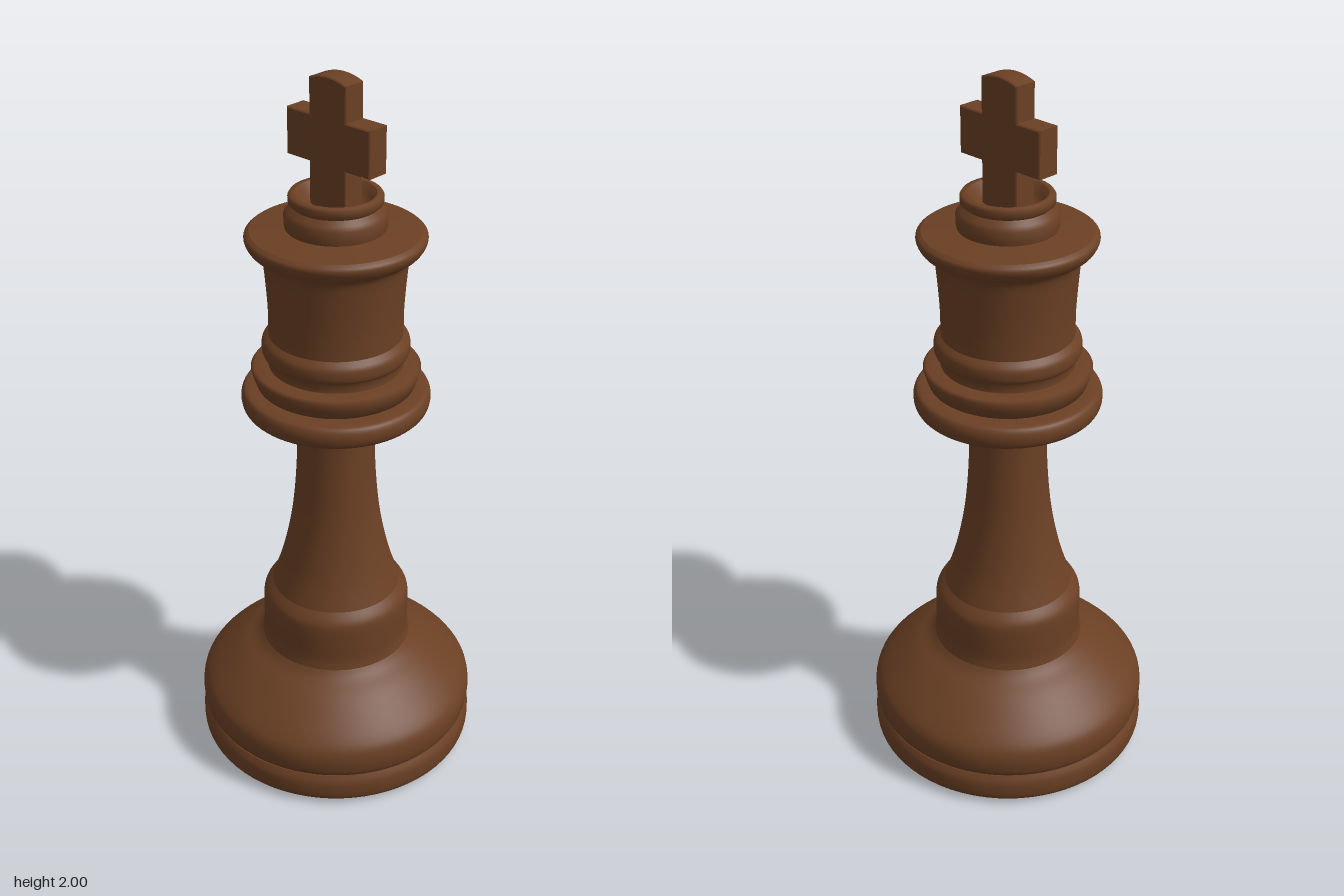
import * as THREE from 'three';

export function createModel() {
  const group = new THREE.Group();
  const wood = new THREE.MeshStandardMaterial({ color: 0x6b4024 });
  wood.name = 'brown wood';
  wood.side = THREE.DoubleSide;

  const add = (name, geometry) => {
    const mesh = new THREE.Mesh(geometry, wood);
    mesh.name = name;
    group.add(mesh);
    return mesh;
  };

  // Turned part: [radius, height] points from bottom to top, optionally smoothed
  const turned = (name, profile, steps = 0) => {
    let points = profile.map(([r, y]) => new THREE.Vector2(r, y));
    if (steps) {
      points = new THREE.SplineCurve(points).getPoints(steps);
      points.forEach((p) => { p.x = Math.max(p.x, 0); });
    }
    return add(name, new THREE.LatheGeometry(points, 72));
  };

  // Foot and bell-shaped base
  turned('underside', [[0, 0], [0.29, 0], [0.3, 0.01], [0.37, 0.012]]);
  turned('footRing', [[0.37, 0.012], [0.39, 0.016], [0.398, 0.03], [0.4, 0.055], [0.398, 0.08], [0.388, 0.1]], 16);
  turned('baseBell', [[0.385, 0.1], [0.394, 0.115], [0.398, 0.15], [0.392, 0.185], [0.37, 0.215],
    [0.33, 0.252], [0.28, 0.292], [0.235, 0.32], [0.215, 0.34]], 28);

  // Stem
  turned('lowerCollar', [[0.215, 0.34], [0.21, 0.37], [0.21, 0.42], [0.209, 0.47], [0.202, 0.495], [0.182, 0.52]], 18);
  turned('shaft', [[0.182, 0.52], [0.158, 0.59], [0.138, 0.67], [0.122, 0.76], [0.112, 0.86], [0.107, 0.96],
    [0.107, 1.03], [0.116, 1.06], [0.14, 1.078], [0.18, 1.083]], 36);

  // Collar discs under the head
  turned('wideDisc', [[0.18, 1.083], [0.225, 1.087], [0.248, 1.1], [0.255, 1.125], [0.25, 1.147], [0.235, 1.156], [0.19, 1.158]], 24);
  turned('flaredRing', [[0.198, 1.157], [0.212, 1.166], [0.221, 1.19], [0.227, 1.212], [0.218, 1.22], [0.18, 1.222]]);
  turned('neck', [[0.18, 1.22], [0.178, 1.235], [0.184, 1.25]]);
  turned('headBead', [[0.178, 1.248], [0.192, 1.255], [0.197, 1.272], [0.194, 1.295], [0.178, 1.312]], 16);

  // Head with rolled rim
  turned('head', [[0.178, 1.312], [0.178, 1.38], [0.183, 1.46], [0.189, 1.52], [0.198, 1.54]], 16);
  turned('rim', [[0.198, 1.54], [0.222, 1.555], [0.234, 1.575], [0.234, 1.59], [0.222, 1.6]], 16);
  turned('headTop', [[0.222, 1.6], [0.13, 1.608]]);

  // Stepped cap with hollow top
  turned('capStep', [[0.13, 1.605], [0.133, 1.62], [0.133, 1.645], [0.124, 1.656], [0.112, 1.668]]);
  turned('capRing', [[0.112, 1.668], [0.121, 1.676], [0.122, 1.692], [0.117, 1.7], [0.104, 1.7]]);
  turned('capHollow', [[0.104, 1.7], [0.094, 1.69], [0.078, 1.672], [0.055, 1.661], [0, 1.657]], 14);

  // Cross with a gently arched top
  const w = 0.061, arm = 0.138;
  const outline = new THREE.Shape();
  [[-w, 1.64], [w, 1.64], [w, 1.775], [arm, 1.775], [arm, 1.897], [w, 1.897], [w, 1.988]]
    .forEach(([x, y], i) => (i ? outline.lineTo(x, y) : outline.moveTo(x, y)));
  outline.quadraticCurveTo(0, 2.012, -w, 1.988);
  [[-w, 1.897], [-arm, 1.897], [-arm, 1.775], [-w, 1.775], [-w, 1.64]].forEach(([x, y]) => outline.lineTo(x, y));
  const depth = 0.065;
  const bevel = 0.003;
  add('cross', new THREE.ExtrudeGeometry(outline, {
    depth: depth - 2 * bevel, curveSegments: 10,
    bevelEnabled: true, bevelSize: bevel, bevelOffset: -bevel, bevelThickness: bevel, bevelSegments: 1,
  })).position.z = -depth / 2 + bevel;

  return group;
}
